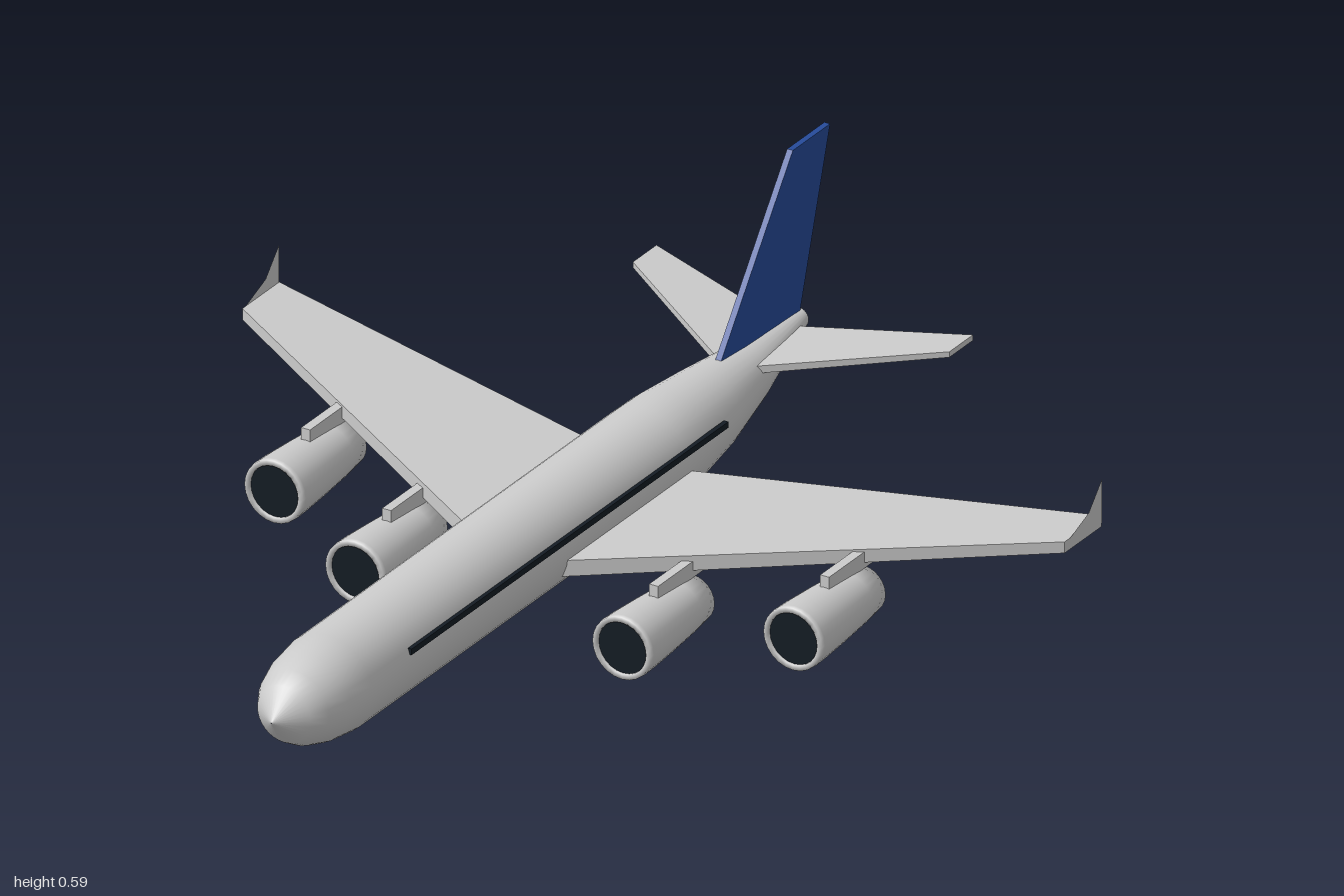
import * as THREE from 'three';

const GREY = 0xcccccc, BLUE = 0x264b9a, DARK = 0x141c24;

function part(name, geometry, color = GREY, side = THREE.FrontSide) {
  const mesh = new THREE.Mesh(geometry, new THREE.MeshStandardMaterial({ color, side }));
  mesh.name = name;
  return mesh;
}

// Tapered slab between a root and a tip section; s = +1 left, -1 right
function slab(root, tip, s) {
  const geo = new THREE.BoxGeometry(1, 1, 1);
  const p = geo.attributes.position;
  for (let i = 0; i < p.count; i++) {
    const c = p.getX(i) * s > 0 ? tip : root;
    p.setXYZ(i, c.x * s, p.getY(i) > 0 ? c.top : c.bottom, p.getZ(i) > 0 ? c.lead : c.trail);
  }
  geo.computeVertexNormals();
  return geo;
}

// Outline in the side plane, given as [z, y] points
function sideShape(points) {
  return new THREE.Shape(points.map(([z, y]) => new THREE.Vector2(-z, y)));
}

// Round body through stations [z, centre y, radius]
function loft(stations, sides) {
  const pos = [], idx = [];
  for (const [z, yc, r] of stations) {
    for (let j = 0; j < sides; j++) {
      const a = (j / sides) * Math.PI * 2;
      pos.push(Math.cos(a) * r, yc + Math.sin(a) * r, z);
    }
  }
  for (let i = 0; i < stations.length - 1; i++) {
    for (let j = 0; j < sides; j++) {
      const k = (j + 1) % sides;
      const a = i * sides + j, b = i * sides + k, c = a + sides, d = b + sides;
      idx.push(a, c, b, b, c, d);
    }
  }
  const geo = new THREE.BufferGeometry();
  geo.setAttribute('position', new THREE.Float32BufferAttribute(pos, 3));
  geo.setIndex(idx);
  geo.computeVertexNormals();
  return geo;
}

function engine(x, y, front) {
  const g = new THREE.Group();
  g.name = 'engine';
  // Nacelle: lip, barrel, tapering tail, closed at the rear
  const profile = [[0, -0.255], [0.05, -0.255], [0.056, -0.2], [0.062, -0.12], [0.066, -0.05],
    [0.067, -0.01], [0.066, 0], [0.055, 0], [0.054, -0.02]].map(([r, h]) => new THREE.Vector2(r, h));
  const nacelle = part('nacelle', new THREE.LatheGeometry(profile, 24).rotateX(Math.PI / 2), GREY, THREE.DoubleSide);
  const intake = part('intake', new THREE.CircleGeometry(0.056, 24), DARK);
  intake.position.z = -0.005;
  const pylon = part('pylon', new THREE.BoxGeometry(0.02, 0.035, 0.2));
  pylon.position.set(0, 0.069, -0.215);
  g.add(nacelle, intake, pylon);
  g.position.set(x, y, front);
  return g;
}

export function createModel() {
  const model = new THREE.Group();
  model.name = 'airliner';

  // Fuselage with rounded nose and upswept tail
  const stations = [[1, 0.165, 0.0005], [0.955, 0.165, 0.06], [0.92, 0.165, 0.08], [0.87, 0.165, 0.095],
    [0.8, 0.165, 0.104], [0.3, 0.165, 0.104], [-0.34, 0.165, 0.104], [-0.42, 0.166, 0.102],
    [-0.55, 0.173, 0.087], [-0.7, 0.188, 0.061], [-0.9, 0.223, 0.021]];
  model.add(part('fuselage', loft(stations, 32)));
  const tailCap = part('tailCap', new THREE.CircleGeometry(0.021, 32).rotateY(Math.PI));
  tailCap.position.set(0, 0.223, -0.9);
  model.add(tailCap);

  // Tail fin
  const fin = new THREE.ExtrudeGeometry(
    sideShape([[-0.6, 0.245], [-0.89, 0.235], [-1, 0.597], [-0.866, 0.597]]),
    { depth: 0.013, bevelEnabled: false });
  fin.translate(0, 0, -0.0065).rotateY(Math.PI / 2);
  model.add(part('tailFin', fin, BLUE));

  for (const s of [1, -1]) {
    // Main wing
    model.add(part('wing', slab(
      { x: 0.04, bottom: 0.117, top: 0.152, lead: 0.135, trail: -0.338 },
      { x: 0.93, bottom: 0.192, top: 0.216, lead: -0.375, trail: -0.508 }, s)));

    // Winglet
    const winglet = new THREE.ShapeGeometry(
      sideShape([[-0.375, 0.21], [-0.508, 0.2], [-0.508, 0.295], [-0.46, 0.242]]));
    winglet.rotateY(Math.PI / 2).translate(s * 0.931, 0, 0);
    model.add(part('winglet', winglet, GREY, THREE.DoubleSide));

    // Tailplane
    model.add(part('tailplane', slab(
      { x: 0.01, bottom: 0.21, top: 0.226, lead: -0.645, trail: -0.857 },
      { x: 0.358, bottom: 0.246, top: 0.258, lead: -0.87, trail: -0.955 }, s)));

    // Window band
    const band = part('windowBand', new THREE.BoxGeometry(0.01, 0.013, 1.14), DARK);
    band.position.set(s * 0.0985, 0.2, 0.09);
    model.add(band);

    // Inner and outer engines
    model.add(engine(s * 0.302, 0.073, 0.22), engine(s * 0.587, 0.1, 0.058));
  }
  return model;
}
